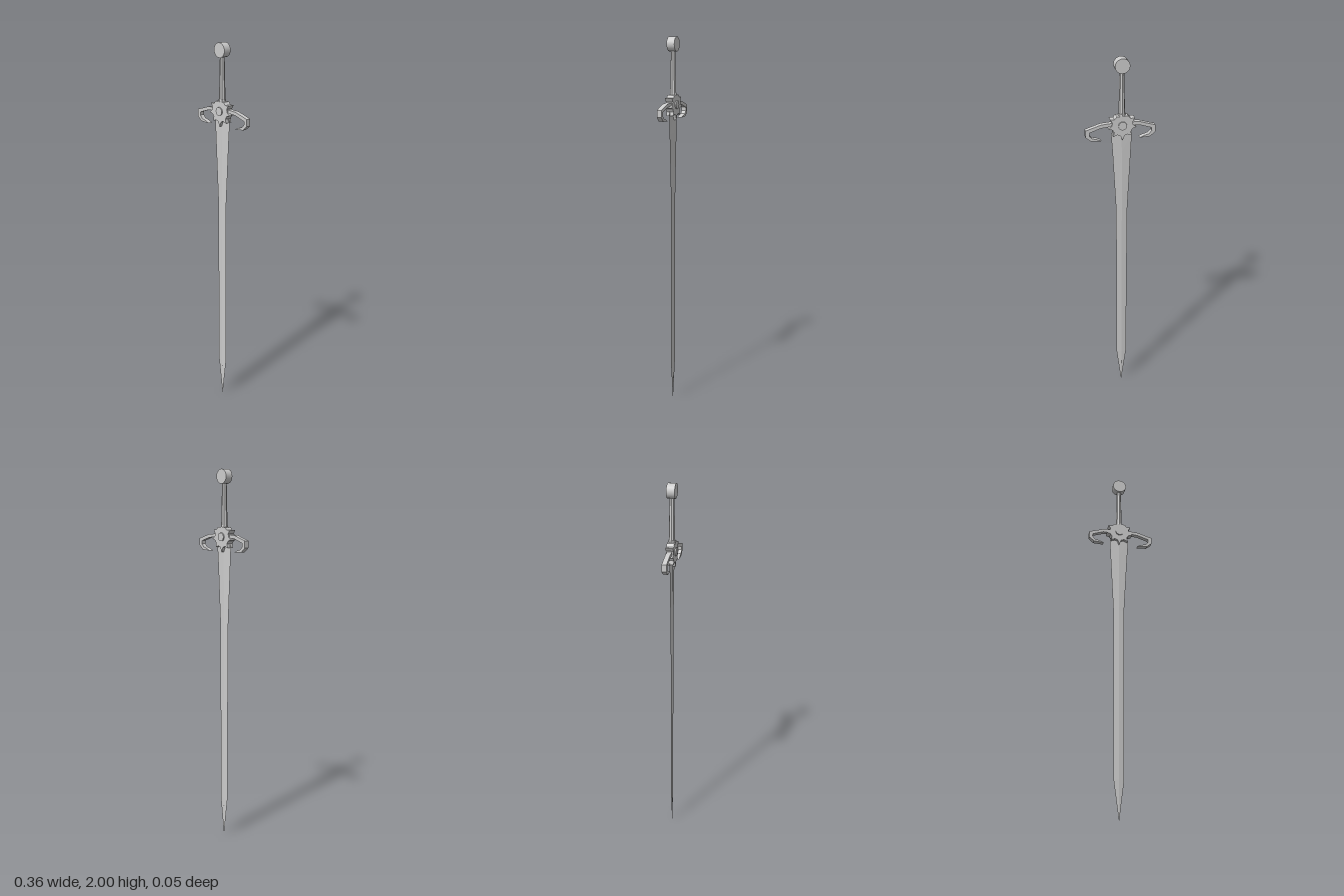
import * as THREE from 'three';

export function createModel() {
  const sword = new THREE.Group();
  const flat = new THREE.MeshStandardMaterial({ color: 0xcccccc, flatShading: true, side: THREE.DoubleSide });
  const CX = -0.008, CZ = -0.002, SUN_Y = 1.651;

  const add = (name, geometry, x = 0, y = 0, z = CZ) => {
    const mesh = new THREE.Mesh(geometry, flat);
    mesh.name = name;
    mesh.position.set(x, y, z);
    sword.add(mesh);
    return mesh;
  };
  // Plate of the given outline, centred on its own z
  const plate = (points, depth) => {
    const shape = new THREE.Shape(points.map(([x, y]) => new THREE.Vector2(x, y)));
    return new THREE.ExtrudeGeometry(shape, { depth, bevelEnabled: false }).translate(0, 0, -depth / 2);
  };
  const disc = (radius, depth, sides) =>
    new THREE.CylinderGeometry(radius, radius, depth, sides).rotateX(Math.PI / 2);

  // Blade: diamond cross-sections [y, left edge, right edge, half thickness]
  const sections = [
    [0, -0.006, -0.005, 0.0004],
    [0.21, -0.034, 0.021, 0.003],
    [1.16, -0.038, 0.022, 0.003],
    [1.5, -0.055, 0.04, 0.004],
    [1.6, -0.06, 0.047, 0.004],
    [1.64, -0.04, 0.028, 0.004],
  ];
  const position = [], index = [];
  sections.forEach(([y, l, r, t], i) => {
    const mid = (l + r) / 2;
    position.push(l, y, 0, mid, y, t, r, y, 0, mid, y, -t);
    if (i === 0) return;
    for (let k = 0; k < 4; k++) {
      const a = (i - 1) * 4 + k, b = (i - 1) * 4 + (k + 1) % 4;
      index.push(a, b, b + 4, a, b + 4, a + 4);
    }
  });
  const blade = new THREE.BufferGeometry();
  blade.setAttribute('position', new THREE.Float32BufferAttribute(position, 3));
  blade.setIndex(index);
  blade.computeVertexNormals();
  add('blade', blade);

  // Sun-shaped guard centre: seven curved-in spikes, plain at the top
  const sun = [];
  const polar = (deg, r) => {
    const a = THREE.MathUtils.degToRad(deg);
    sun.push([Math.cos(a) * r, Math.sin(a) * r]);
  };
  for (let i = 0; i < 7; i++) {
    const deg = -210 + i * 40;
    polar(deg - 11, 0.055);
    polar(deg, i === 3 ? 0.08 : 0.073);
    polar(deg + 11, 0.055);
  }
  polar(60, 0.058);
  polar(120, 0.058);
  add('sunGuard', plate(sun, 0.039), CX, SUN_Y);
  add('medallion', disc(0.022, 0.052, 16), CX, SUN_Y);

  // Hooked guard arms
  const arm = [
    [0.03, 1.667], [0.1, 1.662], [0.18, 1.637], [0.18, 1.6], [0.153, 1.577], [0.098, 1.574],
    [0.12, 1.584], [0.146, 1.591], [0.161, 1.607], [0.16, 1.624], [0.1, 1.644], [0.03, 1.65],
  ];
  add('leftGuardArm', plate(arm, 0.025));
  add('rightGuardArm', plate(arm.map(([x, y]) => [-x, y]).reverse(), 0.025));

  // Grip with a collar, widening towards the guard
  add('grip', new THREE.CylinderGeometry(0.012, 0.017, 0.25, 8), CX, 1.815);
  add('collar', new THREE.CylinderGeometry(0.018, 0.02, 0.022, 8), CX, 1.701);

  // Disc pommel
  const pommel = add('pommel', disc(0.038, 0.043, 20), CX, 1.962);
  pommel.material = new THREE.MeshStandardMaterial({ color: 0xcccccc });

  return sword;
}
